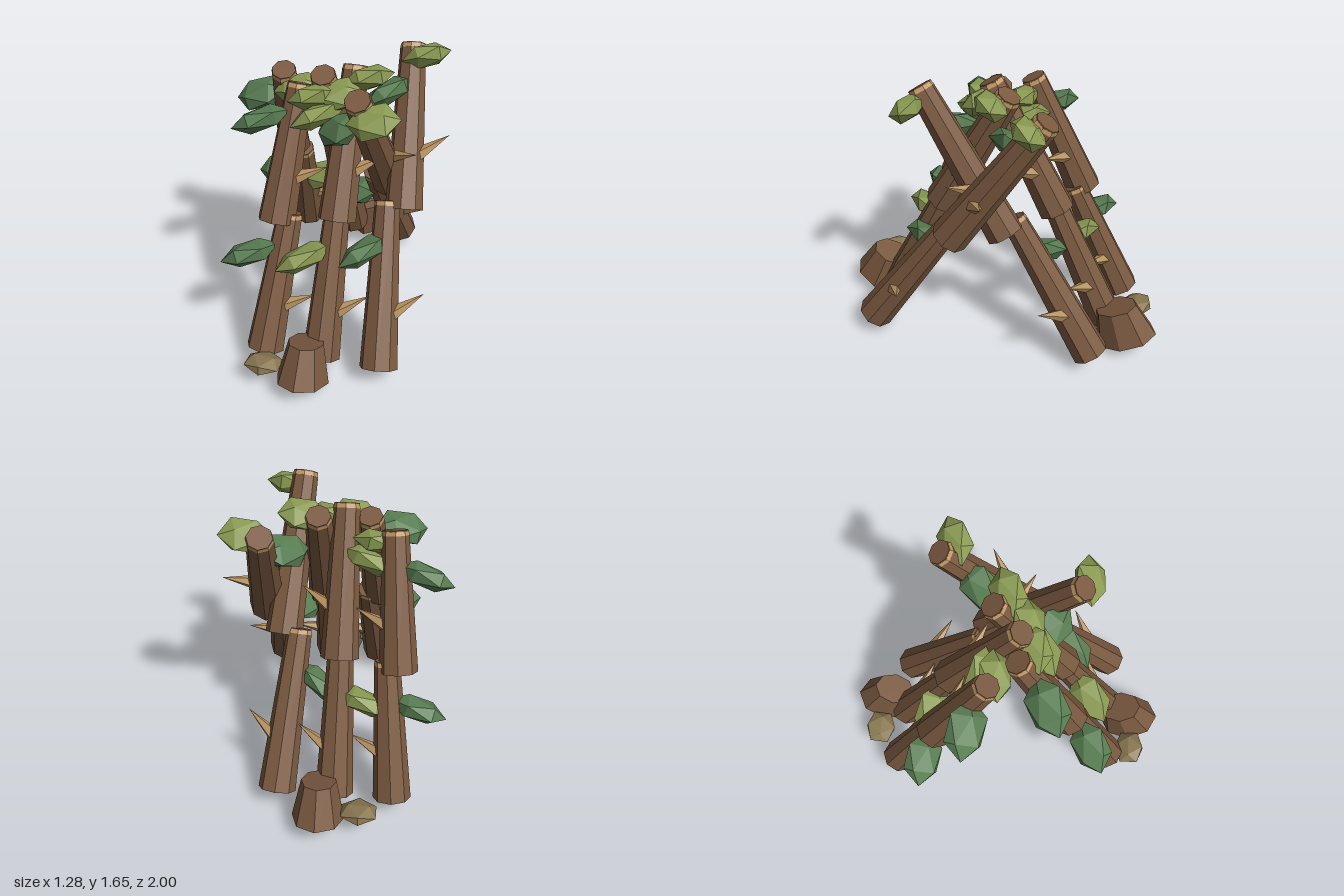
import * as THREE from 'three';

const mat = (name, color) => {
  const m = new THREE.MeshStandardMaterial({ color, flatShading: true });
  m.name = name;
  return m;
};

export function createModel() {
  const model = new THREE.Group();
  const bark = mat('bark brown', 0x7a5940);
  const wood = mat('cut wood tan', 0xc39a66);
  const thornTan = mat('thorn tan', 0xb6915f);
  const darkLeaf = mat('dark leaf green', 0x587d52);
  const lightLeaf = mat('light leaf green', 0x8a9a52);
  const stone = mat('stone olive', 0x897750);

  const add = (parent, name, geometry, material) => {
    const mesh = new THREE.Mesh(geometry, material);
    mesh.name = name;
    parent.add(mesh);
    return mesh;
  };
  const UP = new THREE.Vector3(0, 1, 0);

  // Log from base to end, with a cut top and one thorn
  function log(parent, base, end, s, thornRise) {
    const g = new THREE.Group();
    g.name = 'log';
    g.position.copy(base);
    const dir = end.clone().sub(base), len = dir.length();
    g.quaternion.setFromUnitVectors(UP, dir.normalize());
    const trunk = add(g, 'trunk', new THREE.CylinderGeometry(0.073, 0.108, len - 0.025, 8), bark);
    trunk.position.y = (len - 0.025) / 2;
    add(g, 'cutRing', new THREE.CylinderGeometry(0.07, 0.074, 0.022, 8), wood).position.y = len - 0.015;
    add(g, 'cutTop', new THREE.CylinderGeometry(0.069, 0.069, 0.01, 8), bark).position.y = len - 0.002;

    const tip = new THREE.Vector3(0.23, 0.46 * len, -0.03 * s);
    const from = new THREE.Vector3(0.04, tip.y - thornRise, 0.015 * s);
    const axis = tip.clone().sub(from);
    const thorn = add(g, 'thorn', new THREE.ConeGeometry(0.048, axis.length(), 5), thornTan);
    thorn.position.copy(from).add(tip).multiplyScalar(0.5);
    thorn.quaternion.setFromUnitVectors(UP, axis.normalize());
    parent.add(g);
  }

  // Faceted leaf: pointed along x, wide in z, thin in y
  function leaf(parent, name, pos, size, [pitch, yaw, roll], material) {
    const geo = new THREE.IcosahedronGeometry(1, 0).rotateZ(-1.017).scale(...size);
    const mesh = add(parent, name, geo, material);
    mesh.position.copy(pos);
    mesh.rotation.set(pitch, yaw, roll, 'YXZ');
  }

  // Columns: ends of the lower and upper logs, then side leaf drift, turn [front, back] and size
  const columns = [
    { low: [-0.225, 0.11, 0.68], lowTop: [-0.16, 0.84, 0.35], high: [-0.225, 0.8, 0.39], top: [-0.17, 1.5, 0.07],
      drift: 0.185, pitch: 0.44, side: [-0.12, -0.12], yaw: [0.35, 0.08], roll: 0.27, size: [0.17, 0.07, 0.122], leaf: darkLeaf },
    { low: [0.105, 0.11, 0.67], lowTop: [0.1, 0.865, 0.31], high: [0.105, 0.825, 0.33], top: [0.1, 1.57, -0.08],
      drift: 0.2, pitch: 0.52, side: [-0.145, -0.145], yaw: [0.5, 0.05], roll: 0.32, size: [0.175, 0.07, 0.115], leaf: lightLeaf },
    { low: [0.437, 0.105, 0.67], lowTop: [0.35, 0.875, 0.15], high: [0.443, 0.83, 0.14], top: [0.36, 1.6, -0.38],
      drift: 0.33, pitch: 0.62, side: [-0.17, -0.22], yaw: [0.6, -0.35], roll: 0.36, size: [0.17, 0.07, 0.112], leaf: darkLeaf },
  ];

  // Two crossing walls: s = 1 stands in front and leans back, s = -1 the reverse
  for (const s of [1, -1]) {
    const wall = new THREE.Group();
    wall.name = s > 0 ? 'frontWall' : 'backWall';
    model.add(wall);
    const k = s > 0 ? 0 : 1;
    const place = ([x, y, z]) => new THREE.Vector3(x - 0.14 * k, y, z * s);

    columns.forEach((c, i) => {
      const top = place(c.top);
      for (const [base, end] of [[place(c.low), place(c.lowTop)], [place(c.high), top]]) {
        log(wall, base, end, s, 0.105 + 0.015 * i);
        const offset = new THREE.Vector3(c.side[k], 0.515 + 0.01 * i + 0.03 * s, -s * c.drift + 0.035);
        leaf(wall, 'sideLeaf', base.clone().add(offset), c.size, [-s * c.pitch, c.yaw[k], c.roll + 0.1 * k], c.leaf);
      }
      // leaf tuft beside the cut top
      const tuft = top.clone().add(new THREE.Vector3(0.09, -0.06 + 0.03 * s, 0.05 + 0.02 * s));
      leaf(wall, 'topLeaf', tuft, [0.142, 0.07, 0.108], [-s * c.pitch, 0.25, 0.22], lightLeaf);
    });

    // flared oval stump at the foot of the wall
    const stump = add(wall, 'stump', new THREE.CylinderGeometry(0.128, 0.19, 0.22, 8).scale(0.78, 1, 1), bark);
    stump.position.set(0.043, 0.174, s * 0.783);
    stump.rotation.x = -s * 0.37;

    // flat stone beside the stump
    const rock = add(wall, 'rock', new THREE.IcosahedronGeometry(1, 0).scale(0.115, 0.05, 0.105), stone);
    rock.position.set(-0.185, 0.133, s * 0.825);
    rock.rotation.x = -s * 0.2;
  }
  return model;
}
